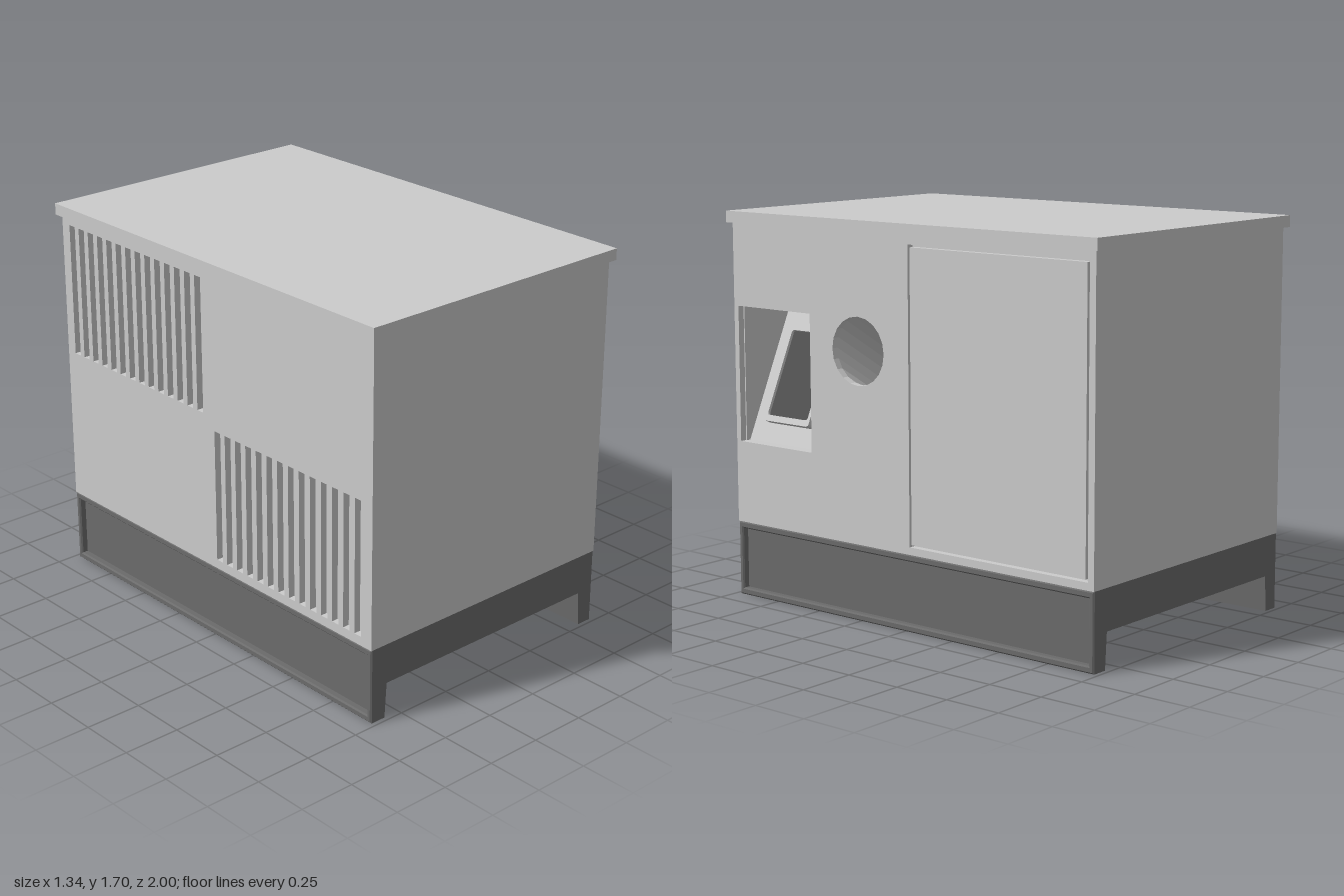
import * as THREE from 'three';

const grey = new THREE.MeshStandardMaterial({ color: 0xcccccc });
const greyThin = new THREE.MeshStandardMaterial({ color: 0xcccccc, side: THREE.DoubleSide, flatShading: true });
const baseDark = new THREE.MeshStandardMaterial({ color: 0x6b6b6b });
const screenDark = new THREE.MeshStandardMaterial({ color: 0x505050 });

const V = (x, y) => new THREE.Vector2(x, y);
const W = 0.65, L = 0.98, T = 0.03;        // half width, half length, wall thickness
const Y0 = 0.33, Y1 = 1.645;               // bottom and top of the housing

function add(parent, name, geometry, material = grey, x = 0, y = 0, z = 0) {
  const mesh = new THREE.Mesh(geometry, material);
  mesh.name = name;
  mesh.position.set(x, y, z);
  parent.add(mesh);
  return mesh;
}

function box(parent, name, x0, x1, y0, y1, z0, z1, material) {
  return add(parent, name, new THREE.BoxGeometry(x1 - x0, y1 - y0, z1 - z0), material,
    (x0 + x1) / 2, (y0 + y1) / 2, (z0 + z1) / 2);
}

const rect = (x0, x1, y0, y1) => [V(x0, y0), V(x1, y0), V(x1, y1), V(x0, y1)];

// rectangle with rounded corners, centred on the origin
function roundRect(w, h, r) {
  const pts = [];
  [[1, 1], [-1, 1], [-1, -1], [1, -1]].forEach(([sx, sy], q) => {
    for (let i = 0; i <= 3; i++) {
      const a = (q + i / 3) * Math.PI / 2;
      pts.push(V(sx * (w / 2 - r) + r * Math.cos(a), sy * (h / 2 - r) + r * Math.sin(a)));
    }
  });
  return pts;
}

function extrude(outline, holes, depth, bevel = 0) {
  const shape = new THREE.Shape(outline);
  holes.forEach(h => shape.holes.push(new THREE.Path(h)));
  return new THREE.ExtrudeGeometry(shape, {
    depth: depth - bevel, bevelEnabled: bevel > 0, bevelSize: bevel,
    bevelThickness: bevel, bevelOffset: -bevel, bevelSegments: 1,
  });
}

// upright side panel whose outer face lies at x = side * W
function sidePanel(parent, name, side, geometry, material, inset = T) {
  const m = add(parent, name, geometry, material, side * (W - inset));
  m.rotation.y = side * Math.PI / 2;
  return m;
}

function createBase() {
  const base = new THREE.Group();
  base.name = 'base';
  const skirt = [V(-0.62, 0), V(-0.575, 0), V(-0.565, 0.155), V(0.565, 0.155),
    V(0.575, 0), V(0.62, 0), V(0.62, Y0), V(-0.62, Y0)];
  const rail = [V(0.575, 0), V(0.62, 0), V(0.62, Y0), V(0.555, Y0)];
  for (let i = 0; i < 2; i++) {
    const half = new THREE.Group();
    half.name = 'baseHalf';
    half.rotation.y = i * Math.PI;
    add(half, 'endSkirt', extrude(skirt, [], 0.04), baseDark, 0, 0, L - 0.04);
    add(half, 'sideRail', extrude(rail, [], 2 * L - 0.08), baseDark, 0, 0, -L + 0.04);
    const frame = extrude(rect(-L, L, 0, Y0), [rect(-0.955, 0.955, 0.03, 0.3)], T, 0.006);
    sidePanel(half, 'sideFrame', 1, frame, baseDark);
    base.add(half);
  }
  box(base, 'floorPlate', -0.56, 0.56, 0.3, Y0, -0.94, 0.94, baseDark);
  return base;
}

// sloping control recess in the +x wall
function createControlRecess() {
  const g = new THREE.Group();
  g.name = 'controlRecess';
  const z0 = 0.525, z1 = 0.955;
  const profile = [V(W - T, 1.285), V(W - 0.32, 1.285), V(W - 0.05, 0.69), V(W - T, 0.69)];
  for (let i = 0; i < 3; i++) {
    const a = profile[i], b = profile[i + 1];
    const geo = new THREE.BufferGeometry();
    geo.setAttribute('position', new THREE.Float32BufferAttribute(
      [a.x, a.y, z0, a.x, a.y, z1, b.x, b.y, z1, b.x, b.y, z0], 3));
    geo.setIndex([0, 2, 1, 0, 3, 2]);
    geo.computeVertexNormals();
    add(g, ['recessCeiling', 'slopingPanel', 'recessLedge'][i], geo, greyThin);
  }
  for (const z of [z0, z1]) add(g, 'recessCheek', new THREE.ShapeGeometry(new THREE.Shape(profile)), greyThin, 0, 0, z);

  // framed display lying on the slope
  const display = new THREE.Group();
  display.name = 'display';
  display.position.set(W - 0.178, 0.973, 0.735);
  display.rotation.set(-Math.atan2(0.27, 0.595), Math.PI / 2, 0, 'YXZ');
  add(display, 'displayFrame', extrude(roundRect(0.27, 0.445, 0.012), [roundRect(0.24, 0.39, 0.012)], 0.035));
  add(display, 'screen', new THREE.BoxGeometry(0.245, 0.395, 0.02), screenDark, 0, 0, 0.012);
  g.add(display);
  return g;
}

// round duct running inward and down from the +x wall
function createDuct(sides, r, y, z) {
  const g = new THREE.Group();
  g.name = 'duct';
  const len = 0.6, slope = 0.6;
  const tube = new THREE.CylinderGeometry(r, r, len, sides, 1, true).rotateZ(-Math.PI / 2).translate(-len / 2, 0, 0);
  const p = tube.attributes.position;
  for (let i = 0; i < p.count; i++) p.setY(i, p.getY(i) + slope * p.getX(i));
  add(g, 'ductWall', tube, greyThin);
  add(g, 'ductEnd', new THREE.CircleGeometry(r, sides).rotateY(Math.PI / 2), greyThin, -len, -slope * len);
  g.position.set(W - T, y, z);
  return g;
}

function createHousing() {
  const g = new THREE.Group();
  g.name = 'housing';
  for (const s of [-1, 1]) {
    const a = s * L, b = s * (L - T);
    box(g, s > 0 ? 'frontWall' : 'backWall', -W + T, W - T, Y0, Y1, Math.min(a, b), Math.max(a, b));
  }

  // +x wall with openings for display, duct and door
  const r = 0.145, sides = 20, cy = 1.15, cz = 0.25;
  const circle = Array.from({ length: sides }, (_, i) => {
    const t = i / sides * Math.PI * 2;
    return V(-cz + r * Math.cos(t), cy + r * Math.sin(t));
  });
  const outline = rect(-L, L, Y0, Y1);
  sidePanel(g, 'leftWall', 1, extrude(outline,
    [rect(-0.955, -0.525, 0.69, 1.285), circle, rect(0.03, 0.95, 0.362, 1.61)], T));
  sidePanel(g, 'door', 1, extrude(rect(0.041, 0.939, 0.373, 1.599), [], T));
  box(g, 'doorBacking', W - T - 0.01, W - T, 0.345, 1.63, -0.965, -0.015);
  g.add(createControlRecess(), createDuct(sides, r, cy, cz));

  // -x wall with two banks of upright vent slots
  const slots = [];
  const count = 14, pitch = 0.0655, width = 0.038;
  for (const [start, y0, y1] of [[-0.93, 1.02, 1.61], [0.03, 0.37, 0.96]])
    for (let i = 0; i < count; i++) slots.push(rect(start + i * pitch, start + i * pitch + width, y0, y1));
  sidePanel(g, 'ventWall', -1, extrude(outline, slots, T));
  box(g, 'ventBacking', -W + T, -W + T + 0.01, Y0, Y1, -L + T, L - T);
  return g;
}

export function createModel() {
  const model = new THREE.Group();
  model.name = 'generatorCabinet';
  model.add(createBase(), createHousing());
  box(model, 'roof', -0.67, 0.67, Y1, 1.695, -1, 1);
  return model;
}
